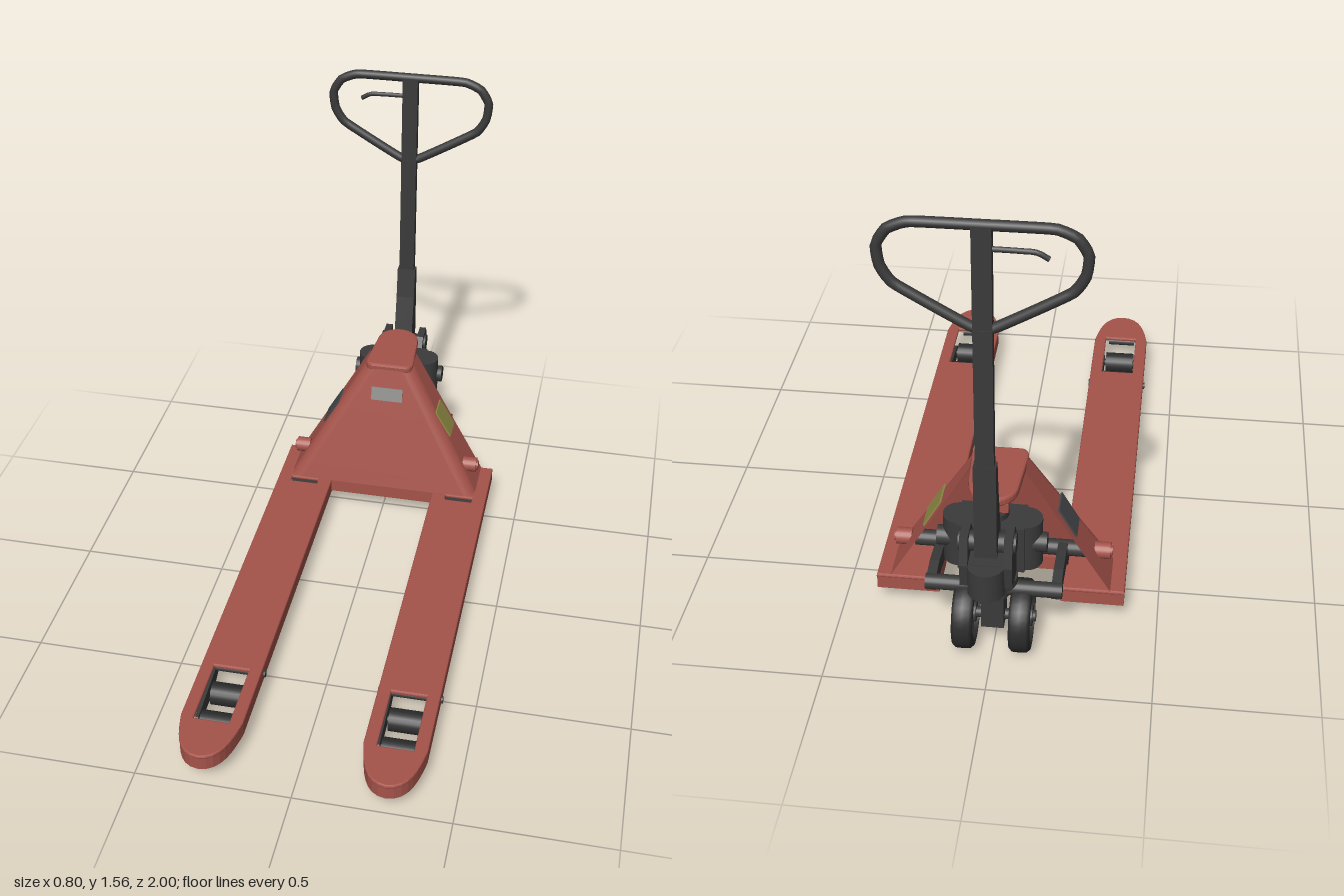
import * as THREE from 'three';

const paint = new THREE.MeshStandardMaterial({ color: 0xa5534a, side: THREE.DoubleSide });
paint.name = 'redPaint';
const flat = (name, color) => {
  const m = new THREE.MeshStandardMaterial({ color });
  m.name = name;
  return m;
};
const steel = flat('darkSteel', 0x3a3a3b);
const rubber = flat('blackRubber', 0x2c2c2d);
const silver = flat('greyLabel', 0x8e8e8c);
const olive = flat('oliveLabel', 0x918b45);
const slate = flat('slateLabel', 0x46484a);

export function createModel() {
  const model = new THREE.Group();
  model.name = 'palletJack';

  const add = (name, geo, mat, x = 0, y = 0, z = 0, parent = model) => {
    const m = new THREE.Mesh(geo, mat);
    m.name = name;
    m.position.set(x, y, z);
    parent.add(m);
    return m;
  };
  const box = (name, mat, w, h, d, x, y, z, parent) =>
    add(name, new THREE.BoxGeometry(w, h, d), mat, x, y, z, parent);
  // cylinder lying along x
  const axle = (name, mat, r, len, x, y, z, parent) =>
    add(name, new THREE.CylinderGeometry(r, r, len, 20).rotateZ(Math.PI / 2), mat, x, y, z, parent);
  // upright cylinder
  const post = (name, mat, r, y0, y1, x, z) =>
    add(name, new THREE.CylinderGeometry(r, r, y1 - y0, 20), mat, x, (y0 + y1) / 2, z);
  // [z, y] outline extruded across x
  const profile = (name, mat, pts, w, x = 0, parent = model) => {
    const s = new THREE.Shape(pts.map(p => new THREE.Vector2(...p)));
    const g = new THREE.ExtrudeGeometry(s, { depth: w, bevelEnabled: false });
    return add(name, g.rotateY(-Math.PI / 2).translate(w / 2, 0, 0), mat, x, 0, 0, parent);
  };
  // [x, z] outline extruded downward from yTop
  const slab = (name, shape, yTop, depth, bevel, parent) => {
    const g = new THREE.ExtrudeGeometry(shape, {
      depth: depth - 2 * bevel, bevelEnabled: bevel > 0, bevelSize: bevel,
      bevelThickness: bevel, bevelOffset: -bevel, bevelSegments: 2, curveSegments: 8,
    });
    return add(name, g.rotateX(Math.PI / 2), paint, 0, yTop - bevel, 0, parent);
  };
  const forkOutline = (Type, i) => {
    const w = 0.101 - i, s = new Type();
    s.moveTo(-w, -0.65 + i);
    s.lineTo(w, -0.65 + i);
    s.lineTo(w, 0.83);
    s.bezierCurveTo(w - 0.012, 0.9, 0.075 - i, 0.995 - i, 0, 0.998 - i);
    s.bezierCurveTo(-0.075 + i, 0.995 - i, -w + 0.012, 0.9, -w, 0.83);
    s.closePath();
    return s;
  };
  const rectHole = (x, z0, z1) => new THREE.Path([[-x, z0], [-x, z1], [x, z1], [x, z0]]
    .map(p => new THREE.Vector2(...p))).closePath();

  for (const side of [-1, 1]) {
    // Fork: pierced top plate over a skirt, open underneath
    const fork = new THREE.Group();
    fork.name = side > 0 ? 'leftFork' : 'rightFork';
    fork.position.x = side * 0.293;
    model.add(fork);
    const top = forkOutline(THREE.Shape, 0);
    top.holes.push(rectHole(0.058, 0.6, 0.84), rectHole(0.05, -0.452, -0.425));
    slab('forkTop', top, 0.115, 0.014, 0.005, fork);
    const skirt = forkOutline(THREE.Shape, 0.001);
    skirt.holes.push(forkOutline(THREE.Path, 0.012));
    slab('forkSkirt', skirt, 0.106, 0.046, 0, fork);

    // Tandem load rollers with their carrier and push rod
    for (const z of [0.65, 0.78]) {
      axle('loadRoller', rubber, 0.038, 0.105, 0, 0.039, z, fork);
      axle('rollerAxle', steel, 0.013, 0.15, 0, 0.039, z, fork);
    }
    for (const s of [-1, 1]) {
      profile('rollerCarrier', steel,
        [[0.55, 0.05], [0.63, 0.02], [0.8, 0.02], [0.82, 0.045], [0.79, 0.065], [0.56, 0.085]], 0.012, s * 0.065, fork);
      profile('entryRamp', paint,
        [[0.53, 0.07], [0.54, 0.04], [0.57, 0.03], [0.6, 0.045], [0.62, 0.07]], 0.016, s * 0.083, fork);
    }
    axle('carrierPin', steel, 0.012, 0.212, 0, 0.078, 0.57, fork);
    axle('tipRoller', steel, 0.014, 0.1, 0, 0.056, 0.91, fork);
    box('pushRod', steel, 0.075, 0.025, 0.98, 0, 0.078, 0.07, fork);
    box('rodEnd', steel, 0.1, 0.04, 0.05, 0, 0.08, -0.44, fork);
    axle('rodPin', steel, 0.02, 0.13, 0, 0.085, -0.5, fork);

    // Lift arm from the steering yoke to the frame pivot
    profile('liftArm', steel,
      [[-0.8, 0.2], [-0.8, 0.24], [-0.72, 0.25], [-0.56, 0.225], [-0.48, 0.11], [-0.52, 0.1], [-0.6, 0.17], [-0.7, 0.19]],
      0.03, side * 0.192);
    axle('framePin', paint, 0.027, 0.05, side * 0.317, 0.197, -0.55);
    axle('framePinCap', paint, 0.017, 0.06, side * 0.319, 0.197, -0.55);

    // Steering wheel: tyre, web, spokes and hub
    const wheel = new THREE.Group();
    wheel.name = 'steerWheel';
    wheel.position.set(side * 0.087, 0.114, -0.785);
    model.add(wheel);
    const tyre = [[0.084, -0.032], [0.104, -0.032], [0.113, -0.022], [0.114, 0], [0.113, 0.022],
      [0.104, 0.032], [0.084, 0.032], [0.084, -0.032]].map(p => new THREE.Vector2(...p));
    add('tyre', new THREE.LatheGeometry(tyre, 32).rotateZ(Math.PI / 2), rubber, 0, 0, 0, wheel);
    axle('wheelWeb', steel, 0.086, 0.024, 0, 0, 0, wheel);
    axle('wheelHub', steel, 0.032, 0.066, 0, 0, 0, wheel);
    for (let i = 0; i < 4; i++) {
      box('spokes', steel, 0.046, 0.168, 0.014, 0, 0, 0, wheel).rotation.x = i * Math.PI / 4;
    }
  }

  // Sloping body shell: U-shaped sections lofted from base to top
  const section = t => {
    const L = (a, b) => a + (b - a) * t;
    const X = L(0.35, 0.085), zf = L(-0.455, -0.565), zr = L(-0.65, -0.675), r = 0.045;
    const half = [[X, zr]];
    for (let i = 0; i <= 6; i++) {
      const a = i / 6 * Math.PI / 2;
      half.push([X - r + r * Math.cos(a), zf - r + r * Math.sin(a)]);
    }
    return [...half, ...half.map(([x, z]) => [-x, z]).reverse()].map(([x, z]) => [x, L(0.113, 0.578), z]);
  };
  const rows = 8, pos = [], idx = [];
  for (let j = 0; j <= rows; j++) pos.push(...section(j / rows).flat());
  const n = section(0).length;
  for (let j = 0; j < rows; j++) for (let i = 0; i < n - 1; i++) {
    const a = j * n + i, b = a + n;
    idx.push(a, b, a + 1, b, b + 1, a + 1);
  }
  const shell = new THREE.BufferGeometry();
  shell.setAttribute('position', new THREE.Float32BufferAttribute(pos, 3));
  shell.setIndex(idx);
  shell.computeVertexNormals();
  add('bodyShell', shell, paint);
  box('crossBeam', paint, 0.42, 0.05, 0.05, 0, 0.09, -0.481);

  // Rounded top arm reaching back over the pump
  const arm = new THREE.Shape();
  arm.moveTo(-0.06, -0.562);
  arm.lineTo(0.06, -0.562);
  arm.quadraticCurveTo(0.087, -0.565, 0.087, -0.6);
  arm.lineTo(0.075, -0.76);
  arm.absarc(0, -0.752, 0.075, 0, -Math.PI, true);
  arm.lineTo(-0.087, -0.6);
  arm.quadraticCurveTo(-0.087, -0.565, -0.06, -0.562);
  slab('topArm', arm, 0.585, 0.03, 0.008, model);
  profile('armWeb', paint, [[-0.6, 0.56], [-0.6, 0.5], [-0.68, 0.525], [-0.815, 0.53], [-0.815, 0.56]], 0.1);

  // Labels lying on the shell faces
  box('frontLabel', silver, 0.115, 0.05, 0.006, 0, 0.473, -0.54).rotation.x = -0.232;
  for (const [s, mat] of [[1, olive], [-1, slate]]) {
    box('sideLabel', mat, 0.006, 0.112, 0.09, s * 0.211, 0.363, -0.592).rotation.z = s * 0.52;
  }

  // Steering yoke and lift cross shaft
  axle('liftShaft', steel, 0.026, 0.56, 0, 0.197, -0.55);
  axle('yokeShaft', steel, 0.024, 0.42, 0, 0.222, -0.785);
  axle('wheelAxle', steel, 0.017, 0.26, 0, 0.114, -0.785);
  box('axleBlock', steel, 0.07, 0.16, 0.08, 0, 0.17, -0.785);
  post('bearingLower', steel, 0.075, 0.25, 0.272, 0, -0.785);
  post('bearingNeck', steel, 0.05, 0.2, 0.34, 0, -0.785);
  post('bearingUpper', steel, 0.065, 0.29, 0.315, 0, -0.785);

  // Hydraulic pump
  box('pumpBlock', steel, 0.2, 0.16, 0.12, 0, 0.415, -0.785);
  for (const s of [-1, 1]) {
    post('pumpCylinder', steel, 0.05, 0.335, 0.495, s * 0.1, -0.785);
    axle('pumpBoss', steel, 0.03, 0.06, s * 0.135, 0.42, -0.8);
    profile('handleBracket', steel,
      [[-0.83, 0.34], [-0.83, 0.47], [-0.87, 0.53], [-0.94, 0.53], [-0.96, 0.44], [-0.95, 0.36]], 0.025, s * 0.065);
  }
  post('piston', steel, 0.035, 0.49, 0.535, 0, -0.775);
  post('pistonCollar', steel, 0.048, 0.495, 0.515, 0, -0.775);
  box('pumpRear', steel, 0.11, 0.1, 0.11, 0, 0.39, -0.895);
  post('pumpRearDrum', steel, 0.056, 0.342, 0.438, 0, -0.943);
  axle('handleHinge', steel, 0.03, 0.17, 0, 0.49, -0.9);

  // Handle: tapered socket, mast, loop grip and release lever
  profile('handleSocket', steel,
    [[-0.867, 0.47], [-0.867, 0.53], [-0.9, 0.68], [-0.915, 0.79], [-0.948, 0.79], [-0.952, 0.47]], 0.066);
  box('handleMast', steel, 0.054, 0.77, 0.03, 0, 1.16, -0.932);
  const halfLoop = [[0.19, 1.546], [0.248, 1.522], [0.277, 1.475], [0.271, 1.415], [0.235, 1.36]];
  const pts = [[0, 1.547], ...halfLoop, [0.03, 1.24], [-0.03, 1.24],
    ...halfLoop.map(([x, y]) => [-x, y]).reverse()].map(([x, y]) => new THREE.Vector3(x, y, -0.932));
  const loop = new THREE.CatmullRomCurve3(pts, true, 'catmullrom', 0.2);
  add('gripLoop', new THREE.TubeGeometry(loop, 72, 0.0155, 10, true), steel);
  const lever = new THREE.CatmullRomCurve3([[-0.02, 1.478], [-0.1, 1.477], [-0.145, 1.474], [-0.175, 1.457]]
    .map(([x, y]) => new THREE.Vector3(x, y, -0.932)));
  add('releaseLever', new THREE.TubeGeometry(lever, 12, 0.008, 8, false), steel);

  return model;
}
